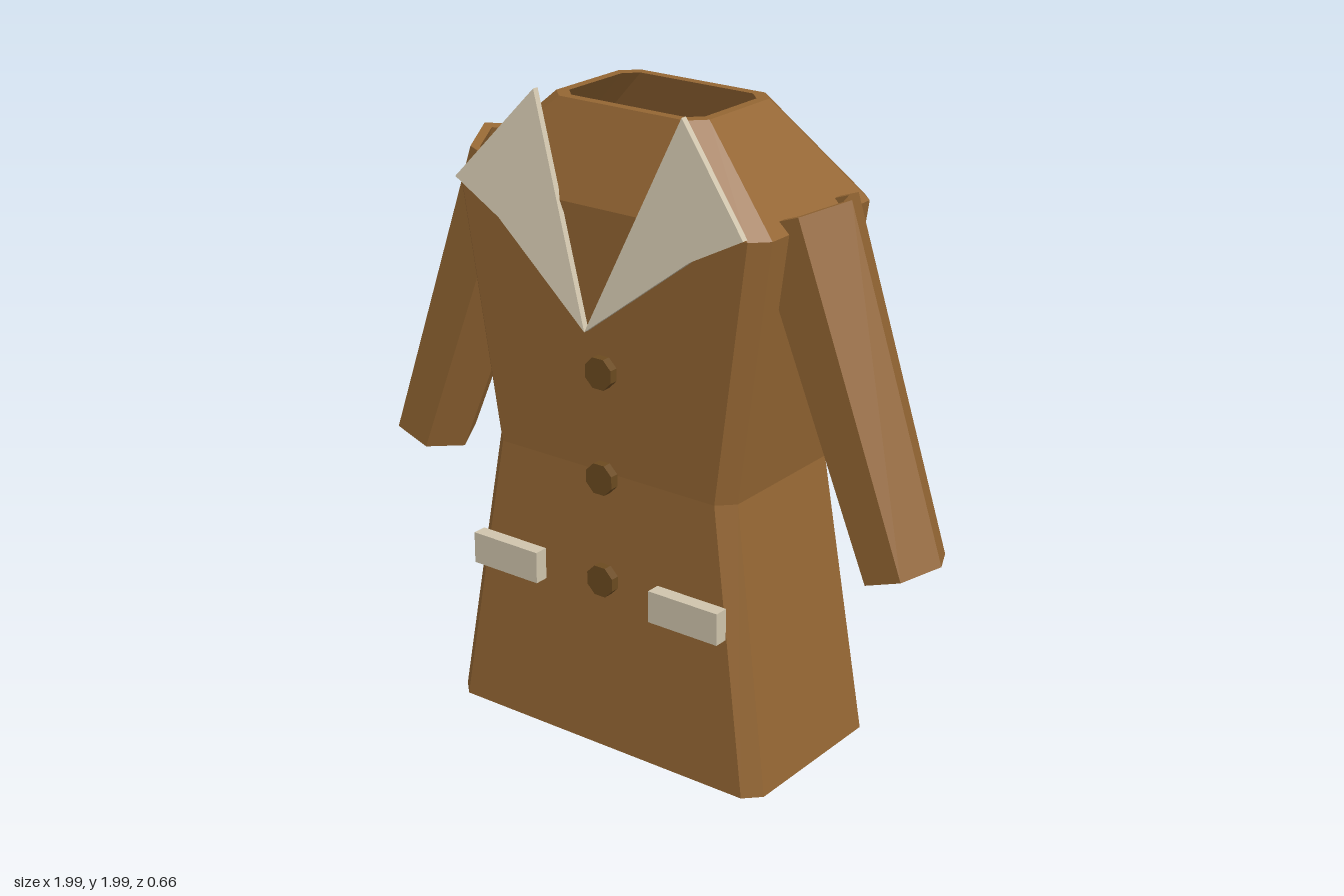
import * as THREE from 'three';

const WALL = 0.03;

// Flat-shaded skin joining successive rings of [x, y, z]; the last ring joins the first,
// so an outer wall followed by a reversed inner wall gives a hollow shell with rims.
function shell(rings) {
  const pos = [];
  rings.forEach((a, i) => {
    const b = rings[(i + 1) % rings.length];
    a.forEach((p, j) => {
      const k = (j + 1) % a.length;
      pos.push(...p, ...a[k], ...b[k], ...p, ...b[k], ...b[j]);
    });
  });
  const g = new THREE.BufferGeometry();
  g.setAttribute('position', new THREE.Float32BufferAttribute(pos, 3));
  g.computeVertexNormals();
  return g;
}

// Rectangle with cut corners, anticlockwise from above
function bodyRing([y, w, front, back], inset) {
  const x = w - inset, f = front - inset, b = back + inset, c = 0.048 - inset * 0.3;
  return [
    [-x + c, y, f], [x - c, y, f], [x, y, f - c], [x, y, b + c],
    [x - c, y, b], [-x + c, y, b], [-x, y, b + c], [-x, y, f - c],
  ];
}

// Six-sided ring across a sleeve
function sleeveRing([cx, cy, cz, rx, rz], side, inset) {
  return Array.from({ length: 6 }, (_, i) => {
    const t = (i * Math.PI) / 3;
    const u = (rx - inset) * Math.cos(t), v = (rz - inset) * Math.sin(t);
    return [side * (cx + u * 0.94), cy + u * 0.34, cz - side * v];
  });
}

export function createModel() {
  const coat = new THREE.MeshStandardMaterial({ name: 'coat brown', color: 0x946633, flatShading: true });
  const cream = new THREE.MeshStandardMaterial({ name: 'trim cream', color: 0xcfc4ac, flatShading: true });
  const dark = new THREE.MeshStandardMaterial({ name: 'button brown', color: 0x6b4a20, flatShading: true });

  const model = new THREE.Group();
  model.name = 'coat';
  const add = (name, geometry, material, x = 0, y = 0, z = 0) => {
    const mesh = new THREE.Mesh(geometry, material);
    mesh.name = name;
    mesh.position.set(x, y, z);
    model.add(mesh);
    return mesh;
  };

  // Hollow body: hem, waist, shoulder, neck as [height, half width, front, back]
  const sections = [
    [0, 0.575, 0.28, -0.332],
    [0.885, 0.44, 0.24, -0.3],
    [1.69, 0.555, 0.26, -0.315],
    [1.957, 0.27, 0.158, -0.223],
  ];
  add('body', shell([
    ...sections.map((s) => bodyRing(s, 0)),
    ...sections.map((s) => bodyRing(s, WALL)).reverse(),
  ]), coat);

  // Lapel outline, tip first
  const lapelShape = new THREE.Shape([
    [0, 1.345], [0.34, 1.61], [0.51, 1.7], [0.26, 1.985],
  ].map(([x, y]) => new THREE.Vector2(x, y)));

  for (const side of [1, -1]) {
    const label = side > 0 ? 'left' : 'right';

    // Open tapered sleeve
    const cuff = [0.881, 0.736, 0, 0.123, 0.137];
    const top = [0.509, 1.717, -0.015, 0.157, 0.172];
    add(label + 'Sleeve', shell([
      sleeveRing(cuff, side, 0), sleeveRing(top, side, 0),
      sleeveRing(top, side, WALL), sleeveRing(cuff, side, WALL),
    ]), coat);

    // Lapel leaning back towards the neck
    const outline = new THREE.Shape(lapelShape.getPoints().map((p) => new THREE.Vector2(side * p.x, p.y)));
    const lapel = new THREE.ExtrudeGeometry(outline, { depth: 0.02, bevelEnabled: false });
    const p = lapel.attributes.position;
    for (let i = 0; i < p.count; i++) {
      p.setZ(i, p.getZ(i) + 0.31 + 0.036 * Math.abs(p.getX(i)) - 0.179 * (p.getY(i) - 1.345));
    }
    lapel.computeVertexNormals();
    add(label + 'Lapel', lapel, cream);

    // Pocket flap
    add(label + 'Pocket', new THREE.BoxGeometry(0.245, 0.1, 0.045), cream, side * 0.333, 0.54, 0.288);
  }

  // Three octagonal buttons down the front
  const button = new THREE.CylinderGeometry(0.05, 0.05, 0.028, 8);
  button.rotateY(Math.PI / 8);
  button.rotateX(Math.PI / 2);
  [1.23, 0.905, 0.58].forEach((y, i) => add('button' + (i + 1), button, dark, 0.047, y, 0.316));

  return model;
}
